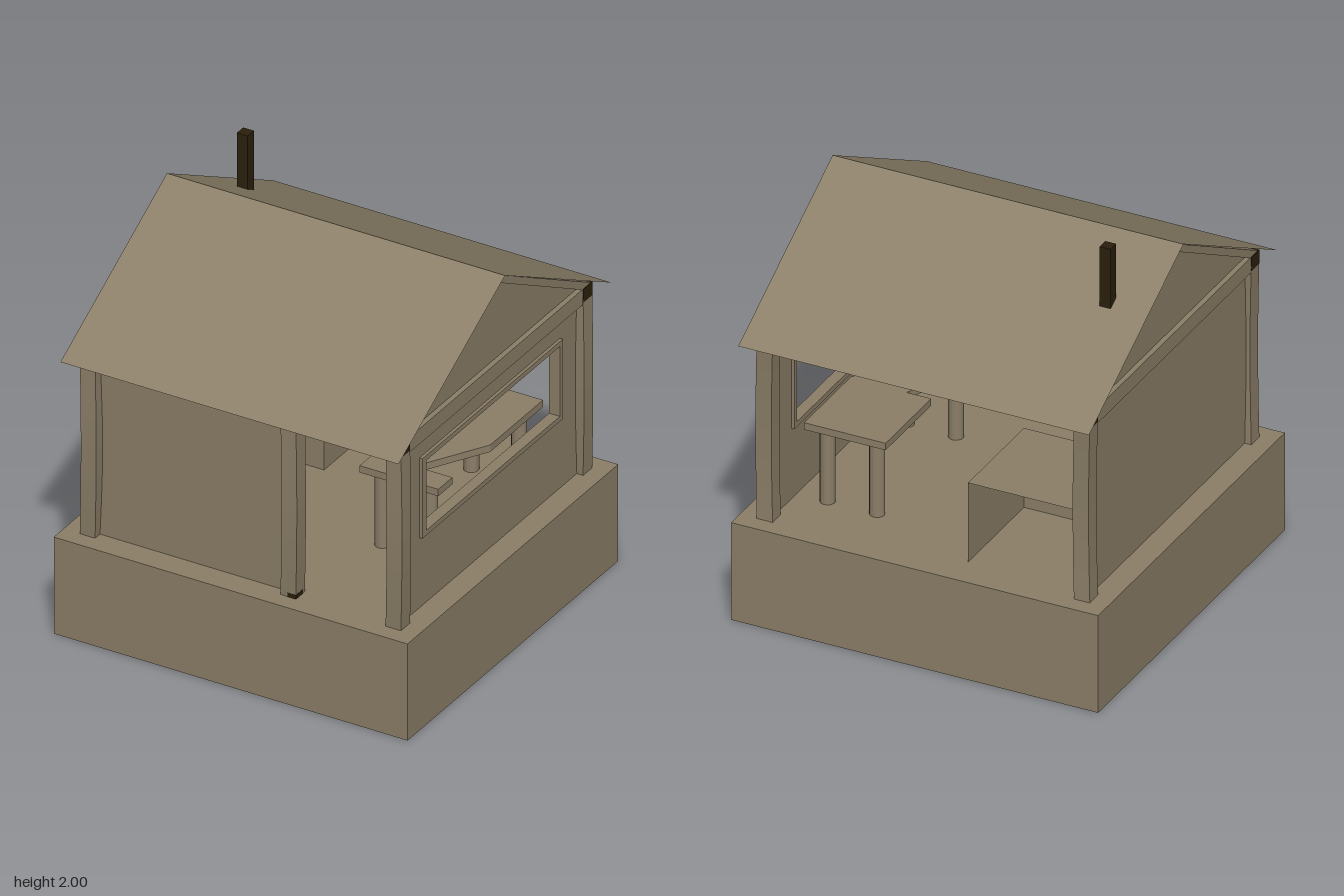
import * as THREE from 'three';

export function createModel() {
  const root = new THREE.Group();
  const timber = new THREE.MeshStandardMaterial({ name: 'timber', color: 0x8c7f68, flatShading: true, side: THREE.DoubleSide });
  const dark = new THREE.MeshStandardMaterial({ name: 'charredMetal', color: 0x2b200c, flatShading: true });

  const add = (name, geo, mat = timber, x = 0, y = 0, z = 0) => {
    const m = new THREE.Mesh(geo, mat);
    m.name = name;
    m.position.set(x, y, z);
    root.add(m);
    return m;
  };
  // Box given by its ranges on each axis
  const box = (name, [x0, x1], [y0, y1], [z0, z1], mat) =>
    add(name, new THREE.BoxGeometry(x1 - x0, y1 - y0, z1 - z0), mat, (x0 + x1) / 2, (y0 + y1) / 2, (z0 + z1) / 2);
  const quad = (name, corners) => {
    const g = new THREE.BufferGeometry();
    g.setAttribute('position', new THREE.Float32BufferAttribute(corners.flat(), 3));
    g.setIndex([0, 1, 2, 0, 2, 3]);
    g.computeVertexNormals();
    return add(name, g);
  };
  const poly = (pts) => new THREE.Shape(pts.map(([a, b]) => new THREE.Vector2(a, b)));
  // Outline in the side plane (-z, y), extruded along x from x0
  const sidePanel = (name, outline, hole, x0, depth) => {
    const s = poly(outline);
    if (hole) s.holes.push(poly(hole));
    const g = new THREE.ExtrudeGeometry(s, { depth, bevelEnabled: false });
    g.rotateY(Math.PI / 2);
    return add(name, g, timber, x0);
  };
  const rect = (a0, a1, b0, b1) => [[a0, b0], [a1, b0], [a1, b1], [a0, b1]];

  // Plinth, open underneath
  const F = 0.49;
  const c = [[-0.9, 0.9], [0.9, 0.9], [0.9, -0.9], [-0.9, -0.9]];
  c.forEach(([x, z], i) => {
    const [u, w] = c[(i + 1) % 4];
    quad('plinthSide', [[x, 0, z], [u, 0, w], [u, F, w], [x, F, z]]);
  });
  quad('floor', c.map(([x, z]) => [x, F, z]));

  // Slightly bowed posts
  const post = (x, z) => {
    const g = new THREE.BoxGeometry(0.078, 0.9, 0.078, 1, 6, 1);
    const p = g.attributes.position;
    for (let i = 0; i < p.count; i++) {
      const b = 0.013 * Math.cos(p.getY(i) / 0.9 * Math.PI);
      p.setX(i, p.getX(i) + b);
      p.setZ(i, p.getZ(i) + b);
    }
    g.computeVertexNormals();
    add('post', g, timber, x, F + 0.45, z);
  };
  for (const x of [-0.778, 0.778]) for (const z of [-0.778, 0.778]) post(x, z);
  post(0.243, 0.778);
  box('postFoot', [0.24, 0.284], [F, F + 0.02], [0.76, 0.819], dark);

  // Top beams and dark corner joints
  for (const s of [-1, 1]) {
    const zc = s * 0.778, xc = s * 0.778;
    box('longBeam', [-0.815, 0.815], [1.355, 1.43], [zc - 0.037, zc + 0.037]);
    box('tieBeam', [xc - 0.037, xc + 0.037], [1.355, 1.432], [-0.815, 0.815]);
    for (const t of [-1, 1]) {
      const x = s * 0.779, z = t * 0.779;
      box('cornerJoint', [x - 0.039, x + 0.039], [1.365, 1.434], [z - 0.039, z + 0.039], dark);
    }
  }

  // Walls
  box('frontWall', [-0.75, 0.21], [F, 1.36], [0.75, 0.775]);
  box('leftSideWall', [-0.785, -0.76], [F, 1.36], [-0.75, 0.75]);
  const opening = rect(-0.57, 0.57, 0.87, 1.225);
  sidePanel('windowWall', rect(-0.75, 0.75, F, 1.36), opening, 0.76, 0.025);
  sidePanel('windowFrame', rect(-0.605, 0.595, 0.845, 1.25), opening, 0.745, 0.055);

  // Gables: rafters around a thin infill
  for (const x of [-0.778, 0.778]) {
    sidePanel('rafters', [[-0.815, 1.43], [0.815, 1.43], [0, 1.882]],
      [[-0.735, 1.433], [0.735, 1.433], [0, 1.843]], x - 0.037, 0.074);
    sidePanel('gableInfill', [[-0.75, 1.43], [0.75, 1.43], [0, 1.85]], null, x - 0.012, 0.024);
  }

  // Thin roof sheets
  for (const s of [1, -1])
    quad('roofSlope', [[-0.86 * s, 1.395, 0.91 * s], [0.86 * s, 1.395, 0.91 * s], [0.86 * s, 1.892, 0], [-0.86 * s, 1.892, 0]]);

  // Flue
  box('flueBase', [-0.68, -0.63], [1.205, 1.4], [-0.35, -0.3]);
  box('flue', [-0.682, -0.628], [1.4, 2], [-0.352, -0.298], dark);

  // Zigzag table on round legs
  const top = poly([[0.29, 0.285], [0.69, 0.285], [0.69, 0.165], [0.5, 0.165], [0.69, -0.16],
    [0.69, -0.61], [0.29, -0.61], [0.29, -0.17], [0.41, -0.17], [0.29, 0.165]]);
  const topGeo = new THREE.ExtrudeGeometry(top, { depth: 0.035, bevelEnabled: false });
  topGeo.rotateX(Math.PI / 2);
  add('tableTop', topGeo, timber, 0, 0.9, 0);
  for (const x of [0.367, 0.61]) for (const z of [-0.54, 0.22])
    add('tableLeg', new THREE.CylinderGeometry(0.035, 0.035, 0.375, 16), timber, x, F + 0.1875, z);

  // Counter of thin sheets, open at the back
  const [x0, x1, z0, z1, h] = [-0.76, -0.18, -0.74, -0.2, 0.89];
  quad('counterTop', [[x0, h, z1], [x1, h, z1], [x1, h, z0], [x0, h, z0]]);
  quad('counterSide', [[x1, F, z1], [x1, F, z0], [x1, h, z0], [x1, h, z1]]);
  quad('counterFront', [[x0, F, z1], [x1, F, z1], [x1, h, z1], [x0, h, z1]]);

  return root;
}
